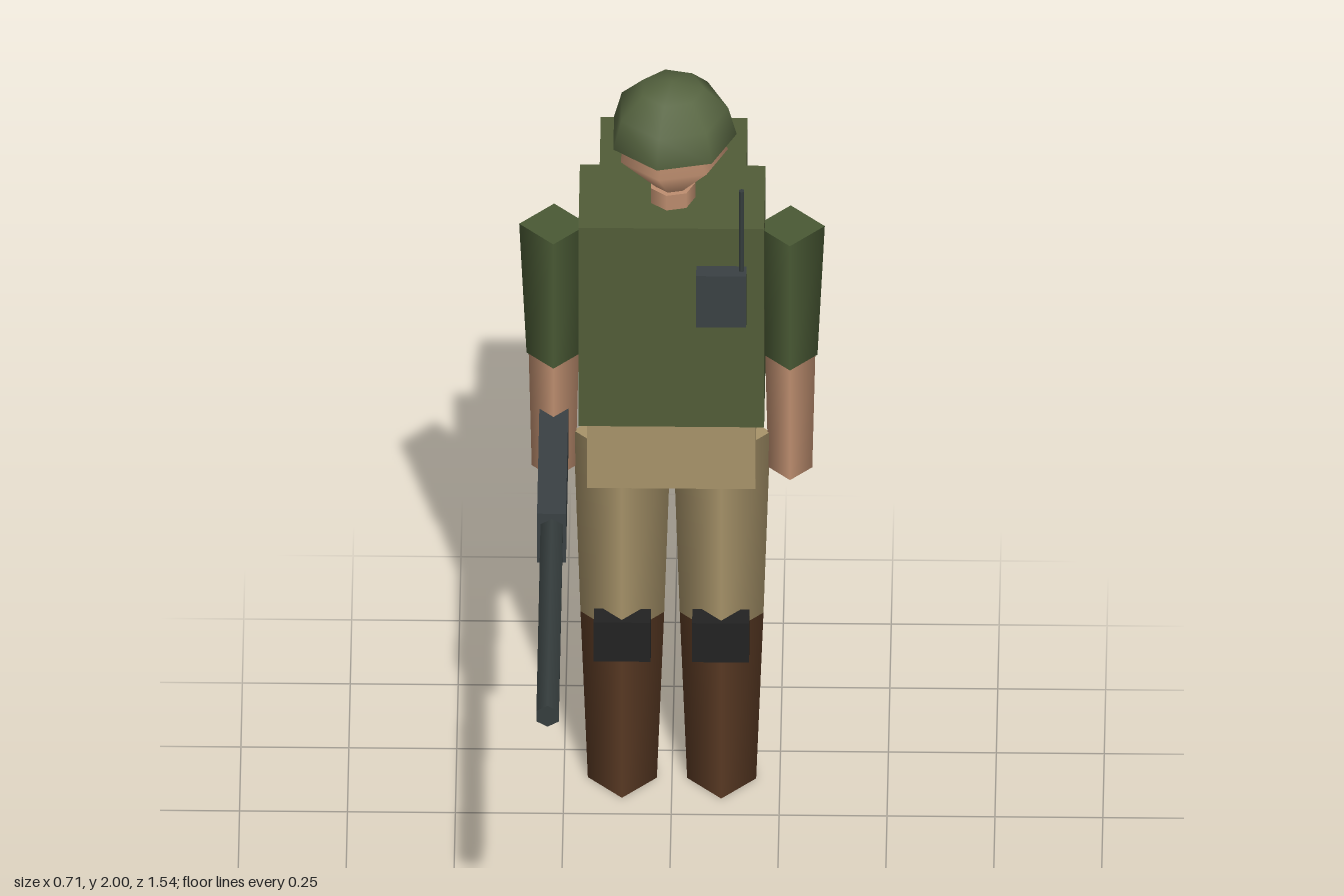
import * as THREE from 'three';

const mat = (name, color, side = THREE.FrontSide) => {
  const m = new THREE.MeshStandardMaterial({ color, side });
  m.name = name;
  return m;
};

export function createModel() {
  const olive = mat('olive cloth', 0x525d38);
  const sleeve = mat('sleeve green', 0x4a5a35);
  const helmetGreen = mat('helmet green', 0x566440, THREE.DoubleSide);
  const skin = mat('skin', 0xbf8f70);
  const khaki = mat('khaki', 0xa8946a);
  const leather = mat('brown leather', 0x5a3a24);
  const black = mat('black pad', 0x222222);
  const steel = mat('dark steel', 0x3a4144);
  const barrelSteel = mat('barrel steel', 0x363e3e);

  const root = new THREE.Group();
  root.name = 'soldier';
  const bodyZ = -0.393;

  const add = (name, geometry, material, x, y, z) => {
    const mesh = new THREE.Mesh(geometry, material);
    mesh.name = name;
    mesh.position.set(x, y, z);
    root.add(mesh);
    return mesh;
  };
  // Box given by its low and high limits on each axis
  const box = (name, material, [x0, x1], [y0, y1], [z0, z1]) =>
    add(name, new THREE.BoxGeometry(x1 - x0, y1 - y0, z1 - z0), material,
      (x0 + x1) / 2, (y0 + y1) / 2, (z0 + z1) / 2);
  // Upright tapered limb section with a diamond cross-section
  const limb = (name, material, x, yTop, rTop, yBottom, rBottom) =>
    add(name, new THREE.CylinderGeometry(rTop, rBottom, yTop - yBottom, 4), material,
      x, (yTop + yBottom) / 2, bodyZ);

  // Torso, hips and backpack
  box('torso', olive, [-0.215, 0.215], [1.1, 1.67], [-0.518, -0.27]);
  box('hips', khaki, [-0.195, 0.195], [0.917, 1.1], [-0.506, -0.277]);
  box('backpack', olive, [-0.17, 0.17], [1.145, 1.622], [-0.769, -0.565]);

  // Neck, faceted head and open helmet, all seven-sided
  add('neck', new THREE.CylinderGeometry(0.054, 0.054, 0.06, 7), skin, 0, 1.682, bodyZ)
    .rotation.y = Math.PI / 2;
  const head = add('head', new THREE.SphereGeometry(0.13, 7, 2), skin, 0, 1.81, bodyZ);
  head.scale.y = 1.1;
  head.rotation.y = Math.PI;
  add('helmet', new THREE.SphereGeometry(0.15, 7, 3, 0, Math.PI * 2, 0, Math.PI / 2),
    helmetGreen, 0, 1.851, -0.396).rotation.y = Math.PI;

  // Arms and legs, mirrored
  for (const [side, s] of [['left', 1], ['right', -1]]) {
    limb(side + 'Sleeve', sleeve, s * 0.274, 1.59, 0.08, 1.22, 0.063);
    limb(side + 'Forearm', skin, s * 0.274, 1.22, 0.058, 0.896, 0.051);
    limb(side + 'Trouser', khaki, s * 0.115, 0.997, 0.113, 0.477, 0.097);
    limb(side + 'Boot', leather, s * 0.115, 0.477, 0.097, 0, 0.08);
    box(side + 'KneePad', black, [s * 0.114 - 0.066, s * 0.114 + 0.066],
      [0.413, 0.525], [-0.339, -0.284]);
  }

  // Chest radio with antenna
  box('radio', steel, [0.058, 0.174], [1.416, 1.563], [-0.28, -0.23]);
  add('antenna', new THREE.CylinderGeometry(0.007, 0.007, 0.25, 6), barrelSteel, 0.163, 1.667, -0.254);

  // Rifle held at the right hand
  box('rifleBody', steel, [-0.307, -0.24], [0.935, 1.075], [-0.425, 0.04]);
  const barrelGeometry = new THREE.CylinderGeometry(0.03, 0.03, 0.75, 6).rotateX(Math.PI / 2);
  add('rifleBarrel', barrelGeometry, barrelSteel, -0.273, 1.03, 0.395);

  return root;
}
